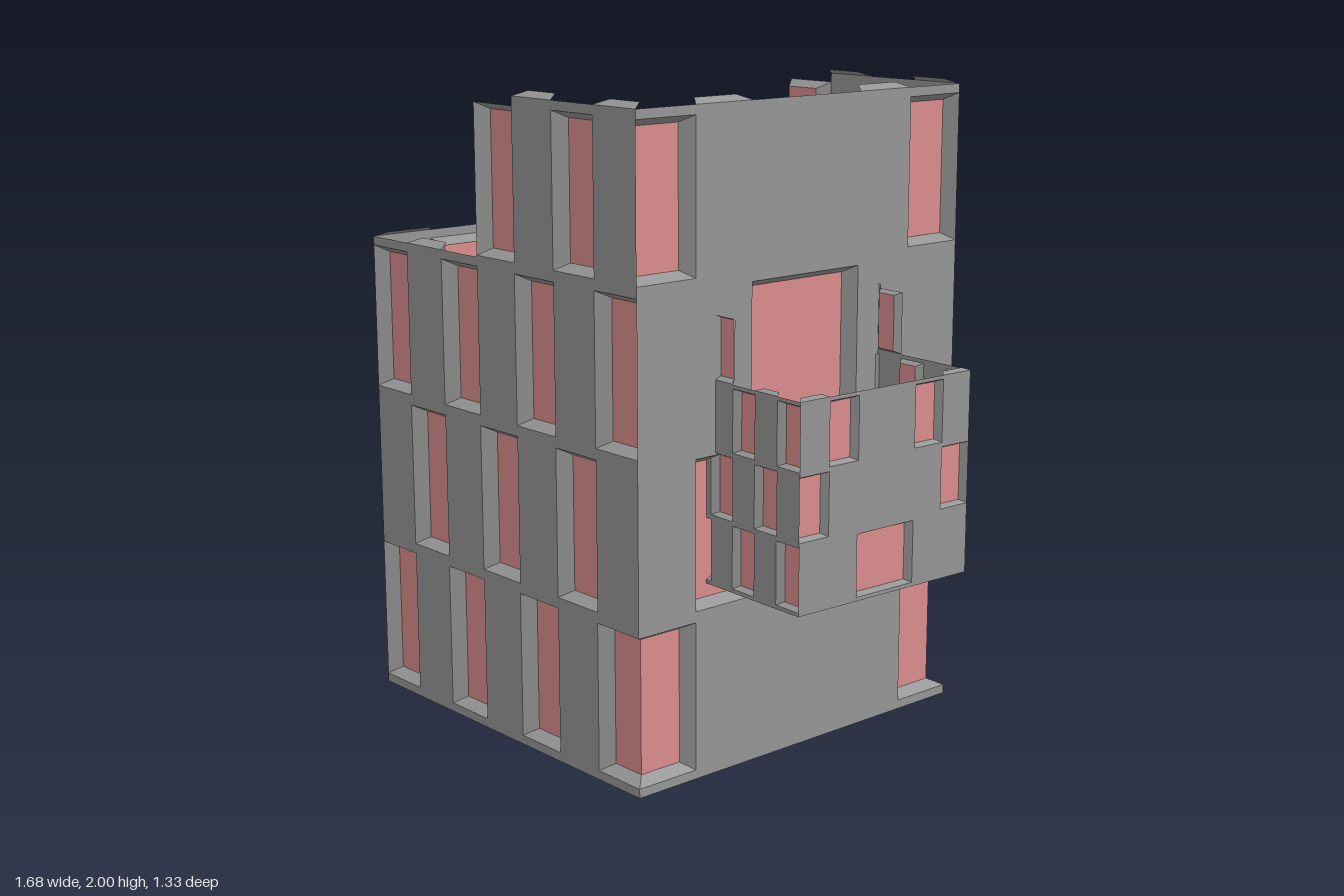
import * as THREE from 'three';

const H = 0.643;      // half width of a block
const ROW = 0.485;    // storey height
const BASE = 0.045;   // height of the foot
const DEPTH = 0.04;   // window recess
const JAMB = 0.029;   // narrowing of the recess at the sides
const SILL = 0.021;   // narrowing of the recess at top and bottom
const FLOOR = 0.94;

const wallMat = new THREE.MeshStandardMaterial({ color: 0x959595, flatShading: true, side: THREE.DoubleSide });
const glassMat = new THREE.MeshStandardMaterial({ color: 0xda8c8c, flatShading: true, side: THREE.DoubleSide });

// Collects four-cornered faces into one mesh
class Quads {
  constructor() { this.pos = []; }
  add(a, b, c, d) { for (const p of [a, b, c, a, c, d]) this.pos.push(...p); }
  mesh(name, material) {
    const g = new THREE.BufferGeometry();
    g.setAttribute('position', new THREE.Float32BufferAttribute(this.pos, 3));
    g.computeVertexNormals();
    const m = new THREE.Mesh(g, material);
    m.name = name;
    return m;
  }
}

// Wall frames: u along the wall, v up, w inward
const frames = {
  front: { at: (u, v, w) => [-H + u, v, H - w], flip: false },
  back: { at: (u, v, w) => [-H + u, v, -H + w], flip: true },
  right: { at: (u, v, w) => [H - w, v, H - u], flip: false },
  left: { at: (u, v, w) => [-H + w, v, H - u], flip: true },
};

// Windows per storey as [first column, last column, open corner]; flaps as [storey, column]
const door = [2, 4];
const cells = (...list) => list.map((c) => [c, c + 1]);
const street = {
  columns: 7,
  start: [0, 0, 0, 3],
  rows: [[...cells(0, 2, 4), [6, 7, 'end']], cells(1, 3, 5), cells(0, 2, 4, 6), cells(3, 5)],
  flaps: [[3, 1], [4, 4], [4, 6]],
};
const layouts = {
  front: street,
  back: street,
  right: {
    columns: 6,
    start: [0, 0, 0, 0],
    rows: [[[0, 1, 'start'], [5, 6, 'end']], cells(1, 4), [door], cells(0, 5)],
    flaps: [[4, 1], [4, 4]],
  },
  left: {
    columns: 6,
    start: [0, 0, 0],
    rows: [[door], cells(0, 5), cells(1, 4)],
    flaps: [[3, 0], [3, 5]],
  },
};

function buildWall(side, length) {
  const { at, flip } = frames[side];
  const { columns, start, rows, flaps } = layouts[side];
  const cell = (2 * H) / columns;
  const fits = (column) => column * cell < length + 1e-4;
  const wall = new Quads(), glass = new Quads();
  const put = (q, ...c) => {
    const p = c.map((k) => at(...k));
    if (flip) p.reverse();
    q.add(...p);
  };
  const panel = (u0, u1, v0, v1) => {
    if (u1 - u0 > 1e-4) put(wall, [u0, v0, 0], [u1, v0, 0], [u1, v1, 0], [u0, v1, 0]);
  };

  rows.forEach((windows, r) => {
    const y0 = BASE + r * ROW, y1 = y0 + ROW;
    const v0 = y0 + 0.005, v1 = v0 + 0.452;
    let u = start[r] * cell;
    for (const [c0, c1, open] of windows) {
      if (!fits(c1)) continue;
      const a = c0 * cell, b = c1 * cell;
      panel(u, a, y0, y1);
      panel(a, b, y0, v0);
      // the window at the stepped end has no wall above it
      if (!(r === 3 && start[r] > 0 && c0 === start[r])) panel(a, b, v1, y1);
      // tapered reveal around the pane; wrapped corners have no post
      const ia = a + (open === 'start' ? DEPTH : JAMB);
      const ib = b - (open === 'end' ? DEPTH : JAMB);
      const o = [[a, v0, 0], [b, v0, 0], [b, v1, 0], [a, v1, 0]];
      const n = [[ia, v0 + SILL, DEPTH], [ib, v0 + SILL, DEPTH], [ib, v1 - SILL, DEPTH], [ia, v1 - SILL, DEPTH]];
      for (let i = 0; i < 4; i++) {
        if ((i === 1 && open === 'end') || (i === 3 && open === 'start')) continue;
        const j = (i + 1) % 4;
        put(wall, o[i], o[j], n[j], n[i]);
      }
      put(glass, ...n);
      u = b;
    }
    panel(u, length, y0, y1);
  });

  // sloping sills left along the broken-off top edge
  for (const [r, c] of flaps) {
    if (!fits(c + 1)) continue;
    const y = BASE + r * ROW, a = c * cell, b = a + cell;
    put(wall, [a, y, 0], [b, y, 0], [b - JAMB, y + 0.015, DEPTH], [a + JAMB, y + 0.015, DEPTH]);
  }

  const group = new THREE.Group();
  group.name = side + 'Wall';
  group.add(wall.mesh(side + 'WallPanels', wallMat), glass.mesh(side + 'WindowPanes', glassMat));
  return group;
}

// A roofless block; a shorter length cuts it off where it joins another
function buildBlock(name, length = 2 * H) {
  const block = new THREE.Group();
  block.name = name;
  for (const side of Object.keys(frames)) {
    if (side === 'right' && length < 2 * H) continue;
    const alongX = side === 'front' || side === 'back';
    block.add(buildWall(side, alongX ? length : 2 * H));
  }

  // foot with a shallow bevel and its underside
  const xMax = -H + length;
  const ring = (k, y) => [[-H + k, y, H - k], [xMax - k, y, H - k], [xMax - k, y, -H + k], [-H + k, y, -H + k]];
  const foot = new Quads();
  const rings = [ring(0.045, 0), ring(0, 0.022), ring(0, BASE)];
  for (let k = 0; k < 2; k++) {
    const lo = rings[k], hi = rings[k + 1];
    for (let i = 0; i < 4; i++) {
      const j = (i + 1) % 4;
      foot.add(lo[i], lo[j], hi[j], hi[i]);
    }
  }
  foot.add(...rings[0].reverse());
  block.add(foot.mesh('foot', wallMat));

  // inner floor
  const floor = new Quads();
  floor.add(...ring(DEPTH, FLOOR));
  block.add(floor.mesh('innerFloor', wallMat));
  return block;
}

export function createModel() {
  const model = new THREE.Group();
  model.name = 'ruinedTower';

  const main = buildBlock('mainBlock');
  main.position.x = -0.175;
  main.rotation.y = 0.038;

  // smaller copy turned round and hung on the right-hand wall
  const annex = buildBlock('hangingAnnex', (2 * H * 5) / 7);
  annex.position.set(0.51, 0.587, 0);
  annex.rotation.y = Math.PI;
  annex.scale.set(0.513, 0.412, 0.513);

  model.add(main, annex);
  return model;
}
